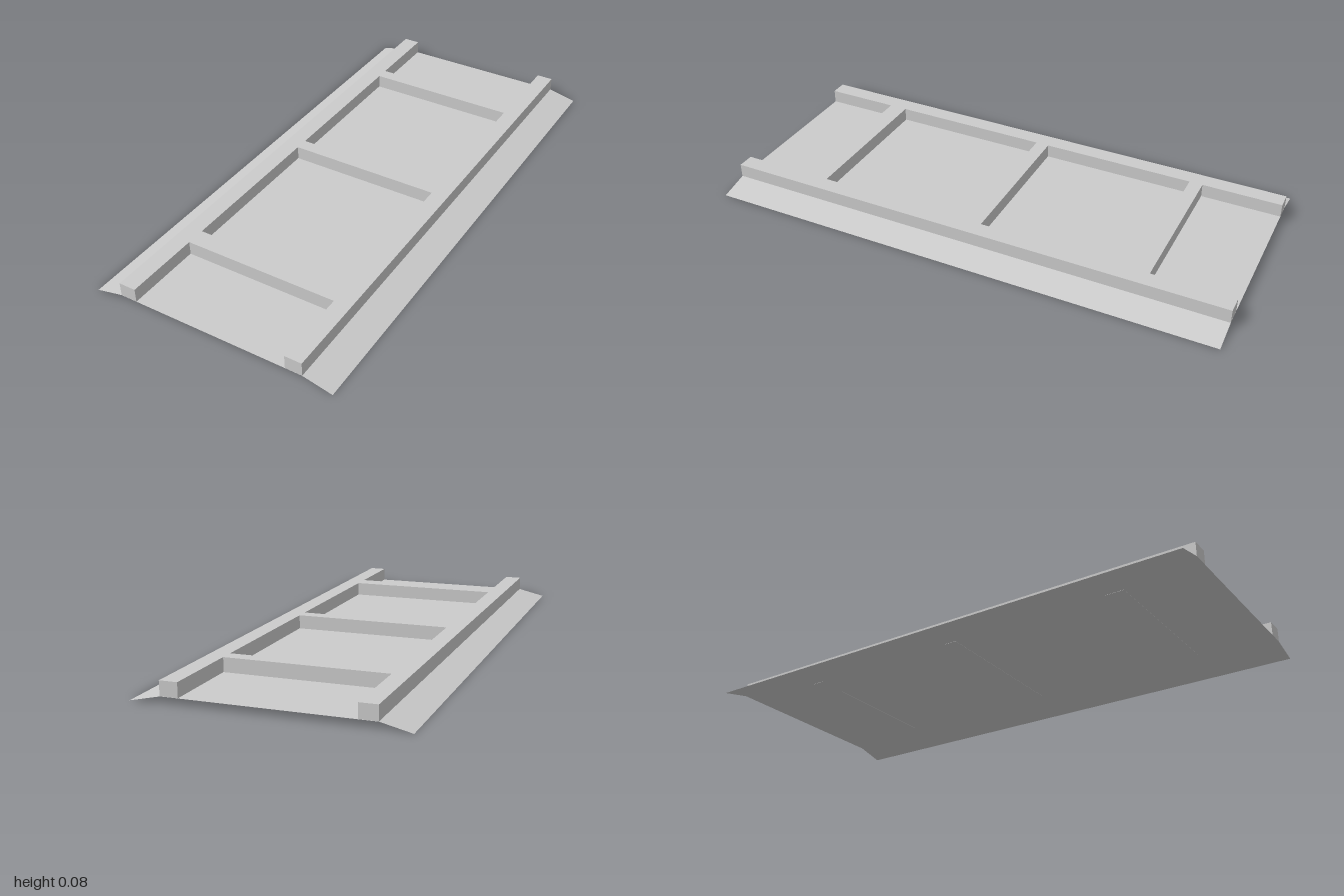
import * as THREE from 'three';

export function createModel() {
  const group = new THREE.Group();
  const grey = new THREE.MeshStandardMaterial({ color: 0xcccccc, flatShading: true });
  const sheetGrey = new THREE.MeshStandardMaterial({ color: 0xcccccc, flatShading: true, side: THREE.DoubleSide });

  // Box given by its limits on each axis
  function bar(name, x0, x1, y0, y1, z0, z1) {
    const mesh = new THREE.Mesh(new THREE.BoxGeometry(x1 - x0, y1 - y0, z1 - z0), grey);
    mesh.position.set((x0 + x1) / 2, (y0 + y1) / 2, (z0 + z1) / 2);
    mesh.name = name;
    group.add(mesh);
  }

  // Thin backing sheet: flat in the middle, both long edges bent down to the ground
  const profile = [[-0.475, 0], [-0.367, 0.025], [0.363, 0.025], [0.475, 0]];
  const sheetGeometry = new THREE.PlaneGeometry(1, 2, profile.length - 1, 1).rotateX(-Math.PI / 2);
  const position = sheetGeometry.attributes.position;
  for (let i = 0; i < position.count; i++) {
    const [x, y] = profile[i % profile.length];
    position.setXYZ(i, x, y, position.getZ(i));
  }
  sheetGeometry.computeVertexNormals();
  const sheet = new THREE.Mesh(sheetGeometry, sheetGrey);
  sheet.name = 'backingSheet';
  group.add(sheet);

  // Long side rails
  bar('rightRail', -0.367, -0.302, 0.0255, 0.078, -1, 1);
  bar('leftRail', 0.299, 0.364, 0.0255, 0.078, -1, 1);

  // Crossbars between the rails, their undersides just showing through the sheet
  const crossbars = [[-0.69, -0.638], [-0.038, 0.014], [0.636, 0.708]];
  crossbars.forEach(([z0, z1], i) => bar(`crossbar${i + 1}`, -0.302, 0.299, 0.0242, 0.078, z0, z1));

  return group;
}
